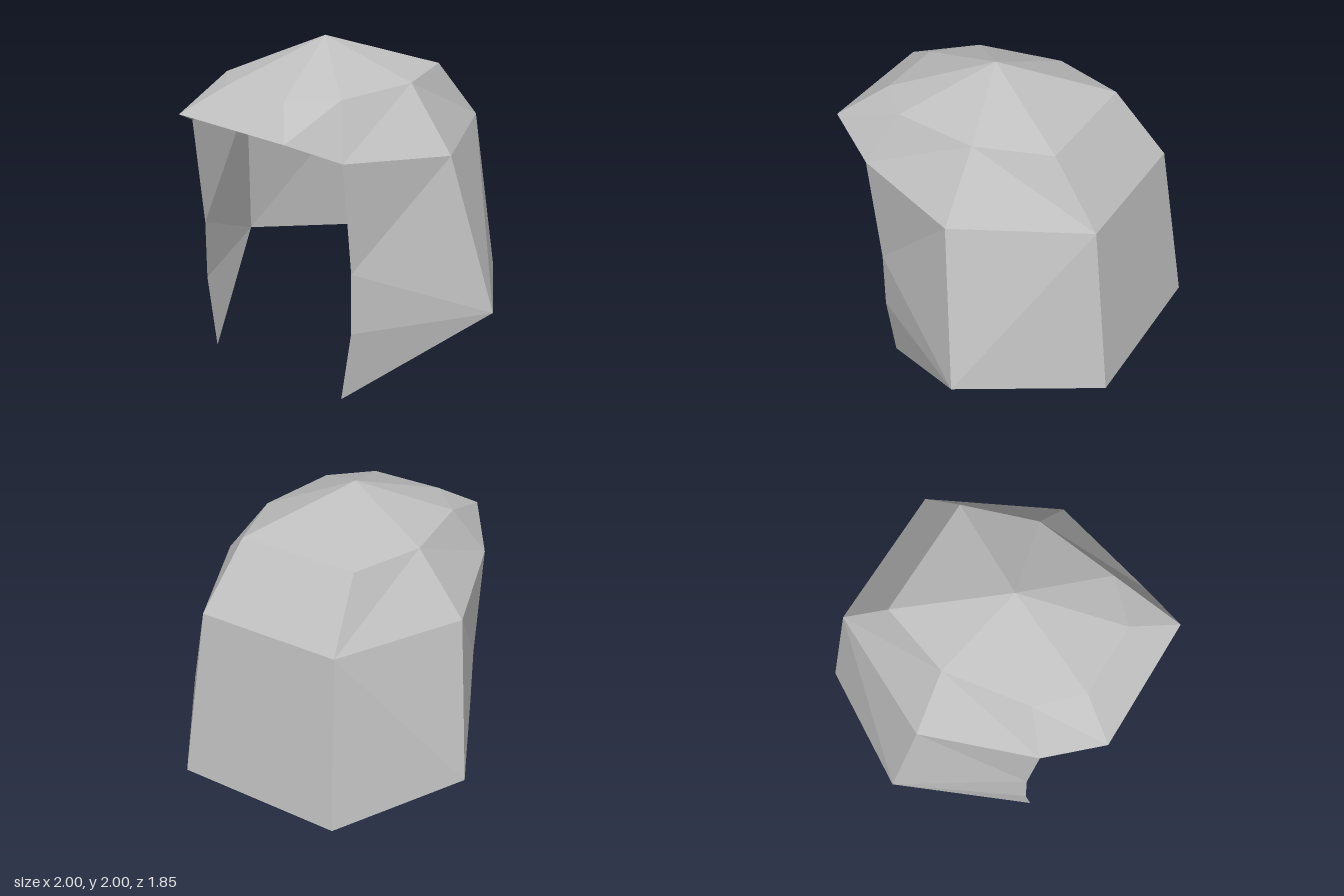
import * as THREE from 'three';

// Corner pairs: [right x, left x, y, z]
const PAIRS = {
  crownBack: [-0.41, 0.335, 1.78, -0.48],
  crownSide: [-0.56, 0.48, 1.78, -0.04],
  crownFront: [-0.48, 0.41, 1.78, 0.48],
  brow: [-0.26, 0.19, 1.78, 0.70],
  brim: [-0.41, 0.405, 1.635, 0.925],
  temple: [-0.63, 0.555, 1.485, 0.63],
  ear: [-0.85, 0.775, 1.41, -0.04],
  nape: [-0.48, 0.405, 1.41, -0.78],
  hem: [-0.56, 0.48, 0.375, -0.925],
  jaw: [-1, 1, 0.45, -0.19],
  cheekTop: [-0.63, 0.555, 0.815, 0.56],
  cheekLow: [-0.63, 0.555, 0.445, 0.56],
  tip: [-0.56, 0.48, 0, 0.56],
};
const APEX = [-0.04, 2, 0.11];

// Looks up a corner; a trailing "L" means the left one
function corner(name) {
  if (name === 'apex') return APEX;
  const left = name.endsWith('L');
  const [r, l, y, z] = PAIRS[left ? name.slice(0, -1) : name];
  return [left ? l : r, y, z];
}

const swapSide = (n) => (n === 'apex' ? n : n + 'L');

// Flat faceted sheet from faces of three or four corners
function sheet(name, faces, material) {
  const pos = [];
  for (const f of faces) {
    for (let i = 1; i < f.length - 1; i++) {
      pos.push(...corner(f[0]), ...corner(f[i]), ...corner(f[i + 1]));
    }
  }
  const geo = new THREE.BufferGeometry();
  geo.setAttribute('position', new THREE.Float32BufferAttribute(pos, 3));
  geo.computeVertexNormals();
  const mesh = new THREE.Mesh(geo, material);
  mesh.name = name;
  return mesh;
}

export function createModel() {
  const group = new THREE.Group();
  group.name = 'facetedHood';
  const grey = new THREE.MeshStandardMaterial({
    name: 'lightGrey', color: 0xc0c0c0, flatShading: true, side: THREE.DoubleSide,
  });

  // Parts that repeat on both sides
  const sides = {
    Crown: [
      ['apex', 'crownBack', 'crownSide'],
      ['apex', 'crownSide', 'crownFront'],
      ['apex', 'crownFront', 'brow'],
    ],
    UpperSide: [
      ['crownFront', 'brim', 'brow'],
      ['crownFront', 'temple', 'brim'],
      ['crownSide', 'temple', 'crownFront'],
      ['crownSide', 'ear', 'temple'],
      ['crownSide', 'nape', 'ear'],
      ['crownBack', 'nape', 'crownSide'],
    ],
    RearSide: [
      ['nape', 'jaw', 'ear'],
      ['nape', 'hem', 'jaw'],
    ],
    CheekFlap: [
      ['ear', 'cheekTop', 'temple'],
      ['ear', 'jaw', 'cheekTop'],
      ['jaw', 'cheekLow', 'cheekTop'],
      ['jaw', 'tip', 'cheekLow'],
    ],
  };
  for (const [part, faces] of Object.entries(sides)) {
    group.add(sheet('right' + part, faces, grey));
    const mirrored = faces.map((f) => f.map(swapSide).reverse());
    group.add(sheet('left' + part, mirrored, grey));
  }

  // Middle panels joining the two sides
  group.add(sheet('frontBrim', [
    ['apex', 'brow', 'browL'],
    ['brow', 'brim', 'brimL', 'browL'],
  ], grey));
  group.add(sheet('backPanel', [
    ['apex', 'crownBackL', 'crownBack'],
    ['crownBackL', 'napeL', 'nape', 'crownBack'],
    ['napeL', 'hemL', 'hem', 'nape'],
  ], grey));
  return group;
}
